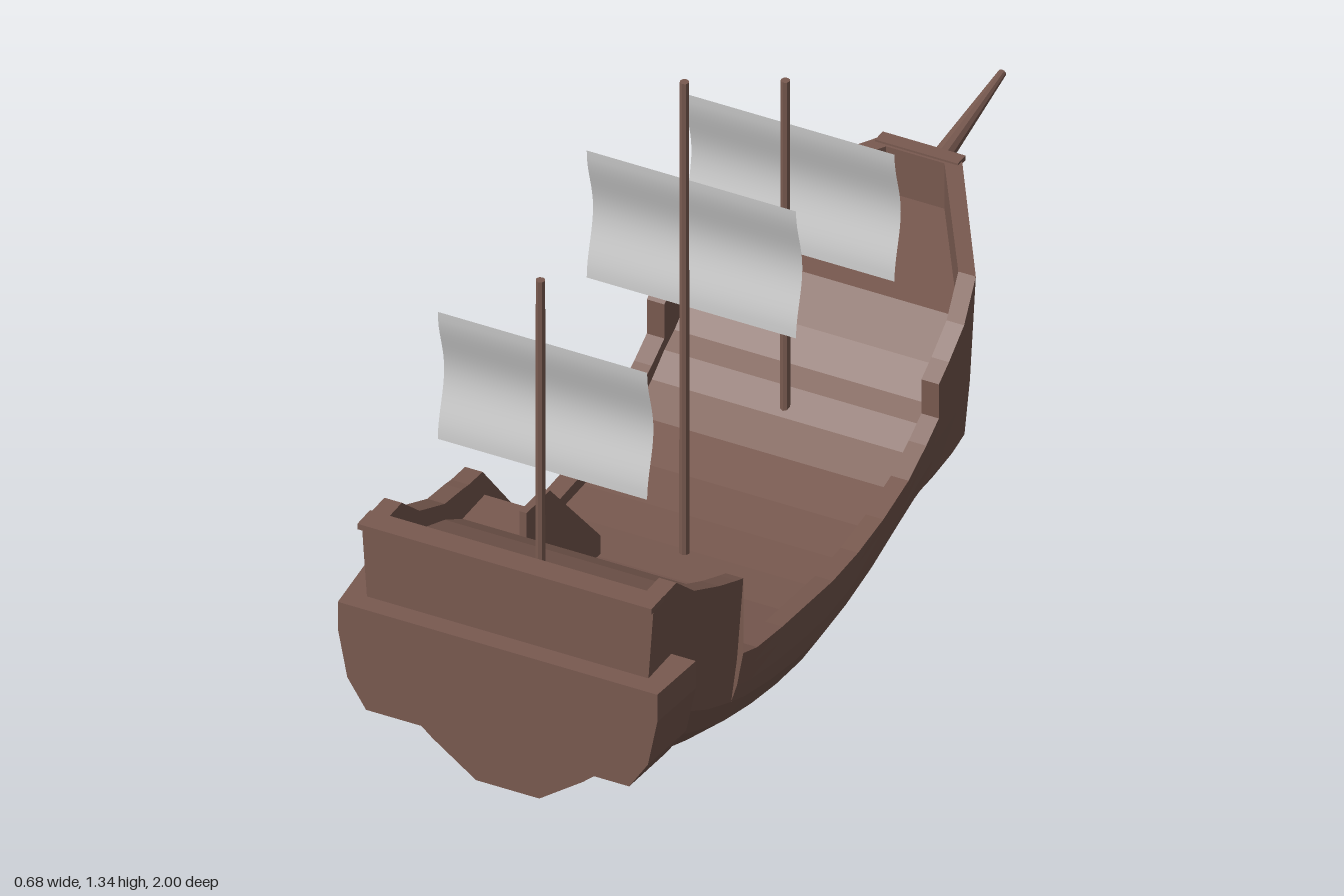
import * as THREE from 'three';

const wood = new THREE.MeshStandardMaterial({ color: 0x795a50, side: THREE.DoubleSide, flatShading: true });
wood.name = 'brown wood';
const canvas = new THREE.MeshStandardMaterial({ color: 0xcccccc, side: THREE.DoubleSide });
canvas.name = 'grey sailcloth';

// Half cross-section: widths and heights above the keel; the last three stretch to the rail
const WIDTHS = [0.065, 0.155, 0.235, 0.275, 0.287, 0.294];
const RISES = [0, 0.065, 0.135, 0.2];

// One side of a station: deck edge, inner rail, outer rail, then down to the keel
function halfRing(z, keel, rail, deck, half) {
  const k = half / 0.3;
  const pts = WIDTHS.map((w, j) => {
    const rise = j < 4 ? RISES[j] : 0.2 + (rail - keel - 0.2) * (j === 4 ? 0.35 : 0.7);
    return [w * k, keel + rise, z];
  });
  pts.push([half, rail, z], [half - 0.036, rail, z], [half - 0.036, deck, z]);
  return pts.reverse();
}

const mirror = (pts) => pts.map(([x, y, z]) => [-x, y, z]).reverse();

function hullGeometry() {
  // z, keel height, rail height at +x, rail height at -x, deck height, half width
  const stations = [
    [0.96, 0.205, 0.70, 0.70, 0.70],
    [0.93, 0.205, 0.70, 0.70, 0.70],
    [0.93, 0.205, 0.70, 0.70, 0.63],
    [0.87, 0.205, 0.70, 0.70, 0.63],
    [0.80, 0.165, 0.64, 0.64, 0.60],
    [0.70, 0.11, 0.59, 0.595, 0.56],
    [0.63, 0.08, 0.56, 0.585, 0.52],
    [0.63, 0.08, 0.56, 0.585, 0.36],
    [0.605, 0.07, 0.55, 0.58, 0.355],
    [0.605, 0.07, 0.385, 0.58, 0.355],
    [0.55, 0.05, 0.365, 0.575, 0.34],
    [0.45, 0.025, 0.35, 0.455, 0.325],
    [0.35, 0.008, 0.34, 0.34, 0.31],
    [0.25, 0, 0.33, 0.33, 0.305],
    [0.15, 0.01, 0.332, 0.332, 0.305],
    [0.05, 0.03, 0.345, 0.345, 0.315],
    [-0.05, 0.06, 0.37, 0.37, 0.34],
    [-0.12, 0.08, 0.405, 0.405, 0.375],
    [-0.17, 0.088, 0.435, 0.435, 0.41],
    [-0.17, 0.088, 0.51, 0.51, 0.41],
    [-0.21, 0.09, 0.535, 0.535, 0.43],
    [-0.27, 0.09, 0.58, 0.58, 0.475],
    [-0.355, 0.075, 0.63, 0.63, 0.53, 0.28],
  ];
  const rings = stations.map(([z, keel, right, left, deck, half = 0.3]) => [
    ...halfRing(z, keel, right, deck, half),
    ...mirror(halfRing(z, keel, left, deck, half)),
  ]);
  // Stem: flat forefoot below, raked and tapering bow above
  const stem = [
    [0.06, 0.53, -0.655], [0.06, 0.63, -0.655], [0.08, 0.63, -0.685],
    [0.08, 0.47, -0.68], [0.09, 0.39, -0.55], [0.10, 0.30, -0.47],
    [0.11, 0.225, -0.435], [0.10, 0.14, -0.435], [0.05, 0.075, -0.435],
  ];
  rings.push([...stem, ...mirror(stem)]);

  const pos = [];
  const quad = (a, b, c, d) => pos.push(...a, ...b, ...d, ...b, ...c, ...d);
  for (let i = 0; i < rings.length - 1; i++) {
    const a = rings[i], b = rings[i + 1];
    for (let k = 0; k < 18; k++) {
      const n = (k + 1) % 18;
      quad(a[k], a[n], b[n], b[k]);
    }
  }
  // Transom and stem faces
  const s = rings[0], e = rings[rings.length - 1];
  for (let k = 0; k < 8; k++) {
    quad(s[17 - k], s[16 - k], s[k + 1], s[k]);
    quad(e[k], e[k + 1], e[16 - k], e[17 - k]);
  }
  const geo = new THREE.BufferGeometry();
  geo.setAttribute('position', new THREE.Float32BufferAttribute(pos, 3));
  geo.computeVertexNormals();
  return geo;
}

function extrude(points, depth) {
  const shape = new THREE.Shape(points.map(([x, y]) => new THREE.Vector2(x, y)));
  return new THREE.ExtrudeGeometry(shape, { depth, bevelEnabled: false });
}

export function createModel() {
  const ship = new THREE.Group();
  ship.name = 'sailingShip';
  const add = (name, geo, x = 0, y = 0, z = 0, mat = wood, parent = ship) => {
    const mesh = new THREE.Mesh(geo, mat);
    mesh.name = name;
    mesh.position.set(x, y, z);
    parent.add(mesh);
    return mesh;
  };

  add('hull', hullGeometry());
  add('sternRail', new THREE.BoxGeometry(0.604, 0.012, 0.05), 0, 0.698, 0.948);
  add('bowRail', new THREE.BoxGeometry(0.17, 0.01, 0.03), 0, 0.629, -0.675);

  // Stern gallery, slightly narrower at its aft face
  const right = [[0.28, 0.32], [0.32, 0.38], [0.34, 0.48], [0.34, 0.54]];
  const left = right.map(([x, y]) => [-x, y]).reverse();
  const gallery = extrude([...right, ...left], 0.13);
  const p = gallery.attributes.position;
  for (let i = 0; i < p.count; i++) {
    if (p.getZ(i) > 0.1) p.setX(i, p.getX(i) * 0.965);
  }
  gallery.computeVertexNormals();
  add('sternGallery', gallery, 0, 0, 0.87);
  add('sideGallery', extrude([
    [-0.2, 0.54], [-0.34, 0.54], [-0.34, 0.41], [-0.31, 0.33], [-0.28, 0.26], [-0.2, 0.27],
  ], 0.085), 0, 0, 0.785);

  // Stairway up to the quarterdeck
  const stairs = new THREE.Group();
  stairs.name = 'stairs';
  ship.add(stairs);
  const steps = 10;
  for (let i = 0; i < steps; i++) {
    const top = 0.34 + i * 0.018;
    add('step', new THREE.BoxGeometry(0.125, top - 0.29, 0.019),
      -0.205, (top + 0.29) / 2, 0.36 + i * 0.019, wood, stairs);
  }
  add('landing', new THREE.BoxGeometry(0.125, 0.22, 0.09), -0.205, 0.41, 0.587, wood, stairs);
  // Profile drawn as (-z, y), then turned to lie along z
  const sideWall = extrude([
    [-0.632, 0.30], [-0.34, 0.30], [-0.34, 0.35], [-0.54, 0.57], [-0.632, 0.575],
  ], 0.015);
  sideWall.rotateY(Math.PI / 2);
  add('stairWall', sideWall, -0.146, 0, 0, wood, stairs);

  // Masts with billowing sails: mast z, base, top, sail z, sail centre height
  const rigs = [
    ['aft', 0.83, 0.58, 1.25, 0.80, 0.96],
    ['main', 0.26, 0.28, 1.343, 0.21, 0.96],
    ['fore', -0.14, 0.35, 1.105, -0.18, 0.85],
  ];
  for (const [name, z, base, top, sailZ, sailY] of rigs) {
    add(name + 'Mast', new THREE.CylinderGeometry(0.009, 0.01, top - base, 8), 0, (base + top) / 2, z);
    const sail = new THREE.PlaneGeometry(0.43, 0.28, 1, 16);
    const sp = sail.attributes.position;
    for (let i = 0; i < sp.count; i++) {
      sp.setZ(i, -0.0125 * Math.cos((sp.getY(i) / 0.14) * Math.PI));
    }
    sail.computeVertexNormals();
    add(name + 'Sail', sail, -0.005, sailY, sailZ, canvas);
  }

  // Bowsprit
  const from = new THREE.Vector3(0, 0.545, -0.66), to = new THREE.Vector3(0, 0.603, -1);
  const sprit = add('bowsprit', new THREE.CylinderGeometry(0.008, 0.024, from.distanceTo(to), 10));
  sprit.position.copy(from).lerp(to, 0.5);
  sprit.quaternion.setFromUnitVectors(new THREE.Vector3(0, 1, 0), to.clone().sub(from).normalize());

  return ship;
}
